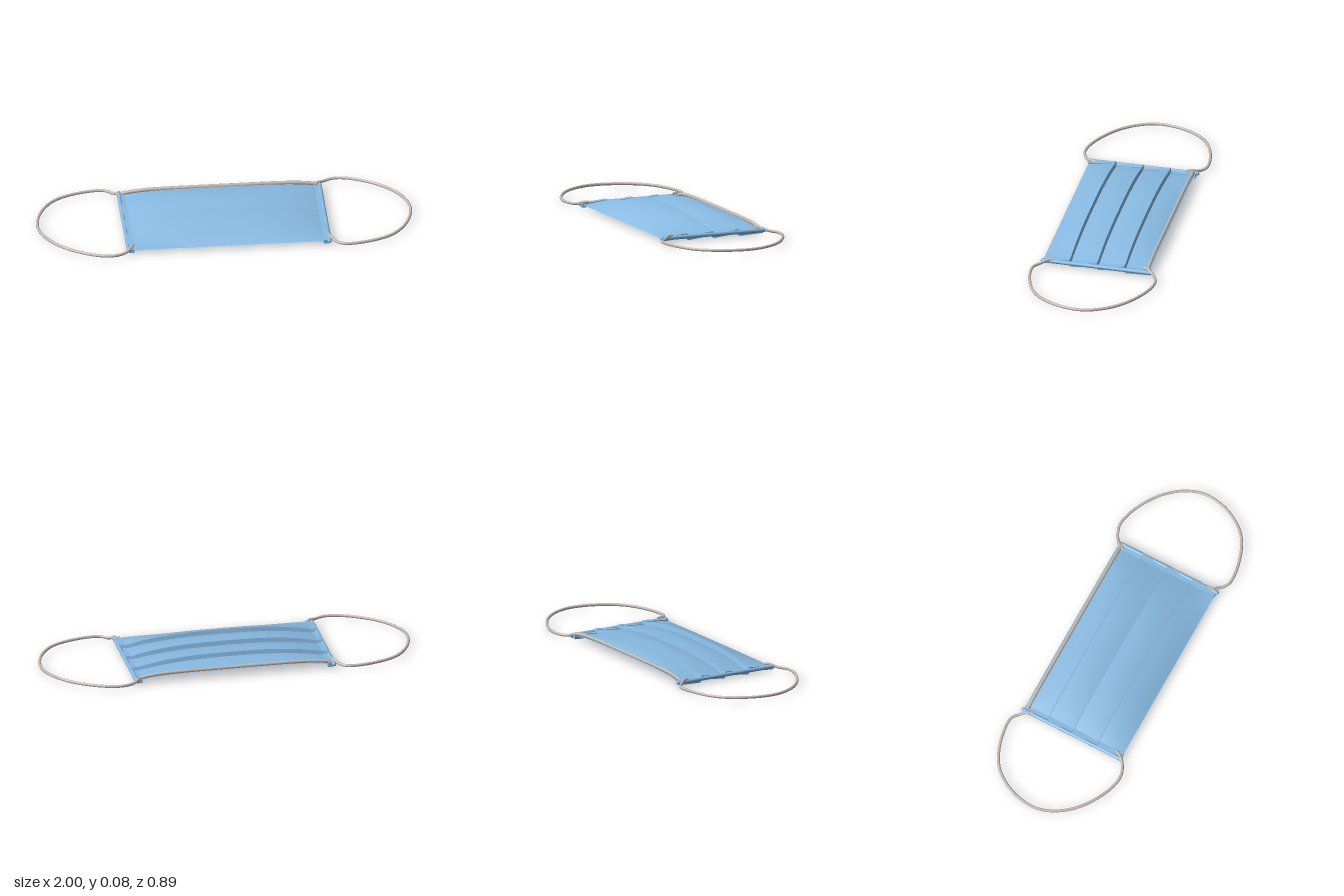
import * as THREE from 'three';

const HALF_W = 0.53;   // half width of the pleated sheet

// Cross-sections from chin to nose: z, height at the sides, extra rise in the middle, squareness of the arch
const SECTIONS = [
  [0.295, 0.018, 0.002, 2.6], [0.15, 0.03, 0.05, 2.8],
  [0.144, 0.014, 0.044, 2.5], [0, 0.03, 0.051, 2.8],
  [-0.006, 0.014, 0.044, 2.5], [-0.15, 0.03, 0.05, 2.8],
  [-0.156, 0.014, 0.044, 2.5], [-0.293, 0.02, 0.02, 6],
];

const heightAt = ([, base, rise, power], u) =>
  base + rise * (1 - Math.pow(Math.min(1, Math.abs(u) / HALF_W), power));

export function createModel() {
  const fabric = new THREE.MeshStandardMaterial({ color: 0x88bae2, side: THREE.DoubleSide });
  fabric.name = 'blue fabric';
  const cord = new THREE.MeshStandardMaterial({ color: 0xc0bab4 });
  cord.name = 'grey cord';

  const model = new THREE.Group();
  model.name = 'faceMask';
  const body = new THREE.Group();
  body.name = 'maskBody';
  body.rotation.y = -0.16;
  model.add(body);

  const add = (parent, geometry, material, name) => {
    const mesh = new THREE.Mesh(geometry, material);
    mesh.name = name;
    parent.add(mesh);
    return mesh;
  };

  // Pleated sheet: panels alternating with steep steps
  for (let i = 0; i < SECTIONS.length - 1; i++) {
    const a = SECTIONS[i], b = SECTIONS[i + 1];
    const isStep = i % 2 === 1;
    const g = new THREE.PlaneGeometry(HALF_W * 2, 1, 40, isStep ? 1 : 8).rotateX(-Math.PI / 2);
    const p = g.attributes.position;
    for (let k = 0; k < p.count; k++) {
      const u = p.getX(k), t = 0.5 - p.getZ(k);
      const bulge = isStep ? 0 : 0.006 * Math.sin(Math.PI * t) * (1 - (u / HALF_W) ** 2);
      p.setZ(k, THREE.MathUtils.lerp(a[0], b[0], t));
      p.setY(k, THREE.MathUtils.lerp(heightAt(a, u), heightAt(b, u), t) + bulge);
    }
    g.computeVertexNormals();
    add(body, g, fabric, isStep ? 'pleatStep' : 'pleatPanel');
  }

  // Nose wire lying on the sheet along its arched top edge
  const nose = SECTIONS[SECTIONS.length - 1];
  const wirePath = [];
  for (let i = 0; i <= 24; i++) {
    const u = (i / 12 - 1) * 0.525;
    wirePath.push(new THREE.Vector3(u, heightAt(nose, u) + 0.008, -0.277));
  }
  add(body, new THREE.TubeGeometry(new THREE.CatmullRomCurve3(wirePath), 48, 0.01, 8), cord, 'noseWire');

  // Side binding outline (z, y), following the saw-tooth of the folded pleats
  const upper = SECTIONS.map(([z, base]) => new THREE.Vector2(-z, base + 0.008));
  const lower = SECTIONS.map(([z, base]) => new THREE.Vector2(-z, base - 0.014)).reverse();
  const outline = new THREE.Shape([...upper, ...lower]);

  for (const side of [-1, 1]) {
    const binding = add(body, new THREE.ExtrudeGeometry(outline, { depth: 0.03, bevelEnabled: false })
      .rotateY(Math.PI / 2), fabric, 'sideBinding');
    binding.position.x = side * 0.522 - 0.015;

    // Rounded roll along the outer edge
    const roll = add(body, new THREE.CapsuleGeometry(0.011, 0.592, 6, 12).rotateX(Math.PI / 2), fabric, 'edgeRoll');
    roll.position.set(side * 0.538, 0.021, 0);

    // Ear loop: the two sides are half a turn apart
    const path = [
      [0.545, -0.17], [0.562, -0.195], [0.6, -0.222], [0.665, -0.238], [0.73, -0.222], [0.82, -0.168],
      [0.91, -0.082], [0.967, 0.015], [0.99, 0.12], [0.97, 0.22], [0.915, 0.318], [0.84, 0.388],
      [0.75, 0.423], [0.62, 0.435], [0.55, 0.422], [0.517, 0.388], [0.495, 0.35], [0.49, 0.32],
    ].map(([x, z], i, all) => {
      const atEnd = i < 2 || i > all.length - 3;
      return new THREE.Vector3(side * x, atEnd ? 0.032 : 0.02, side * z);
    });
    add(model, new THREE.TubeGeometry(new THREE.CatmullRomCurve3(path), 90, 0.008, 8), cord,
      side > 0 ? 'leftEarLoop' : 'rightEarLoop');
  }
  return model;
}
